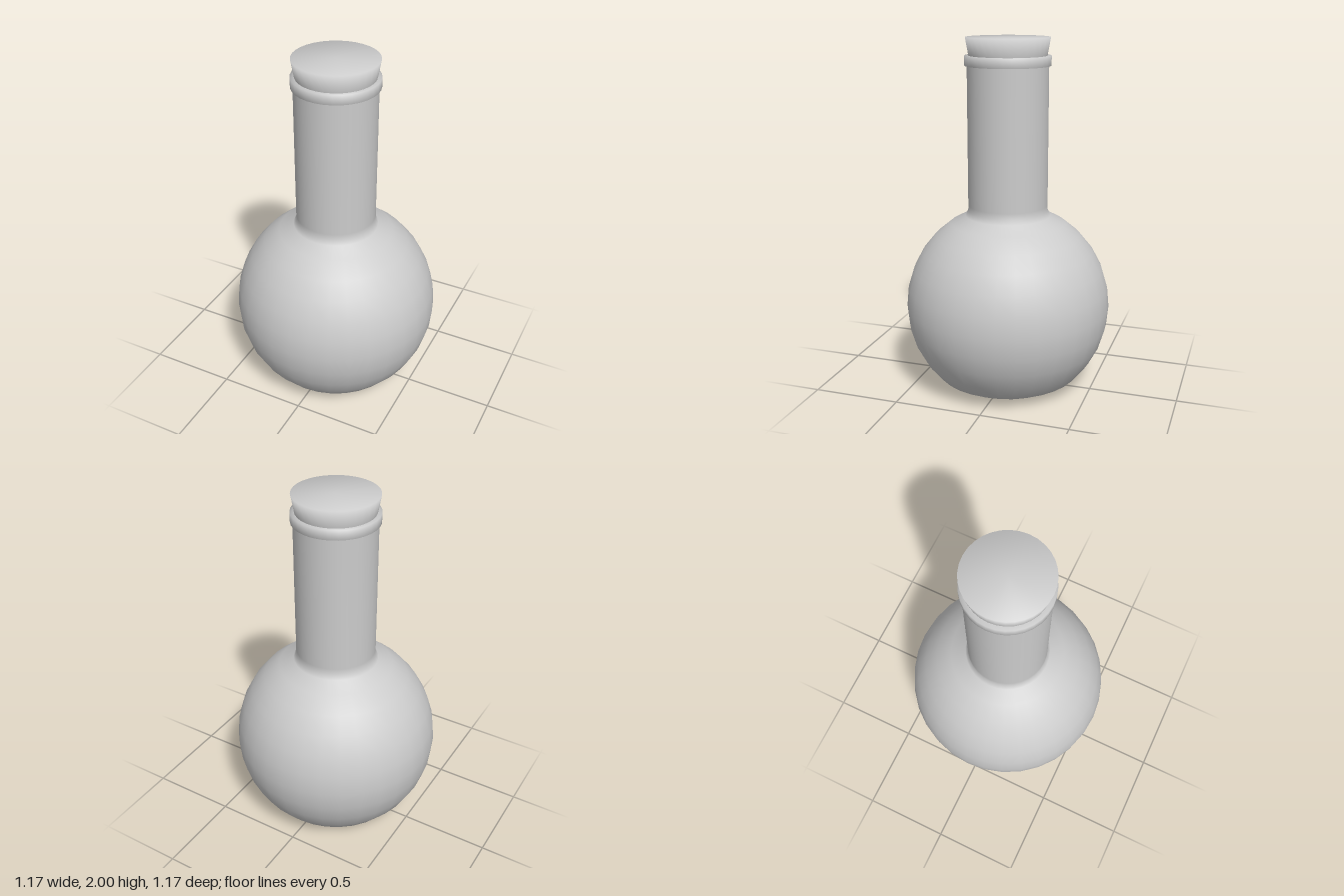
import * as THREE from 'three';

const SIDES = 32;
const material = new THREE.MeshStandardMaterial({ color: 0xcccccc });

// Turned part from a profile of [radius, height] pairs, listed bottom to top
function turned(name, profile) {
  const points = profile.map(([r, y]) => new THREE.Vector2(r, y));
  const mesh = new THREE.Mesh(new THREE.LatheGeometry(points, SIDES), material);
  mesh.name = name;
  return mesh;
}

export function createModel() {
  const group = new THREE.Group();
  group.name = 'flask';

  // Round bulb with a flattened base, blending into the straight neck
  const R = 0.585, centre = 0.48;
  const profile = [[0, 0], [0.22, 0.003], [0.32, 0.016]];
  for (let i = -4; i <= 5; i++) {
    const a = (i * Math.PI) / 16;
    profile.push([R * Math.cos(a), centre + R * Math.sin(a)]);
  }
  profile.push([0.241, 1.01], [0.226, 1.04], [0.225, 1.07], [0.225, 1.86]);
  group.add(turned('flaskBody', profile));

  // Flat band around the mouth, shaded softly across its edges
  group.add(turned('mouthRing', [
    [0.222, 1.848], [0.238, 1.848], [0.238, 1.902], [0.2, 1.902],
  ]));

  // Flared stopper with a flat top
  group.add(turned('stopper', [[0.205, 1.84], [0.215, 1.9], [0.233, 2], [0, 2]]));

  return group;
}
